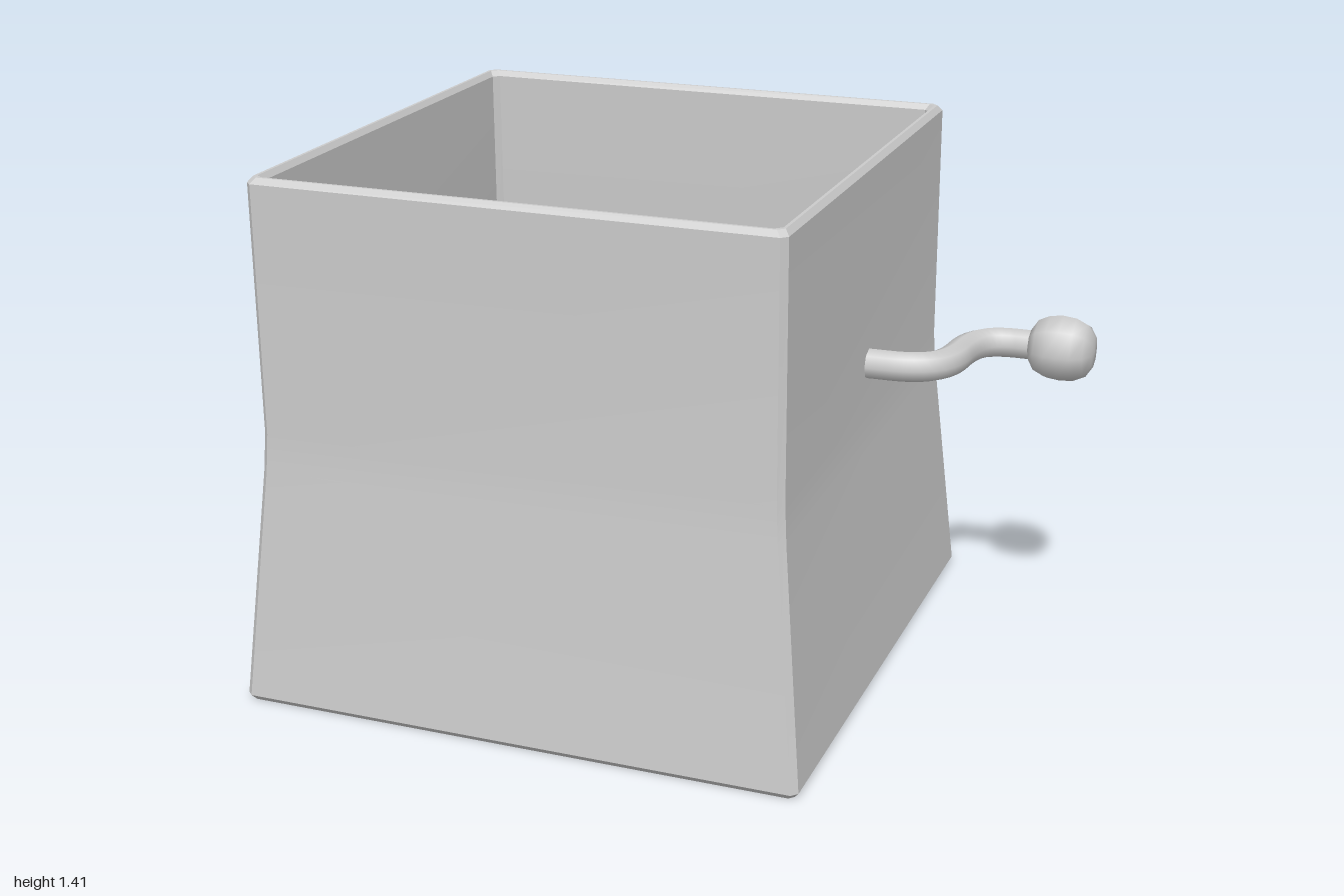
import * as THREE from 'three';
import { toCreasedNormals } from 'three/addons/utils/BufferGeometryUtils.js';

const material = new THREE.MeshStandardMaterial({ color: 0xcccccc });

// Square with cut corners, counter-clockwise seen from above
function ring(half, y, cut) {
  const c = half - cut;
  return [[half, c], [half, -c], [c, -half], [-c, -half], [-half, -c], [-half, c], [-c, half], [c, half]]
    .map(([x, z]) => [x, y, z]);
}

// Skin a stack of rings, closing both ends
function skin(rings) {
  const pos = [], n = 8;
  const tri = (...corners) => corners.forEach((p) => pos.push(...p));
  for (let r = 0; r < rings.length - 1; r++) {
    for (let i = 0; i < n; i++) {
      const j = (i + 1) % n, a = rings[r], b = rings[r + 1];
      tri(a[i], a[j], b[j]);
      tri(a[i], b[j], b[i]);
    }
  }
  const first = rings[0], last = rings[rings.length - 1];
  for (let i = 1; i < n - 1; i++) {
    tri(first[0], first[i + 1], first[i]);
    tri(last[0], last[i], last[i + 1]);
  }
  const geometry = new THREE.BufferGeometry();
  geometry.setAttribute('position', new THREE.Float32BufferAttribute(pos, 3));
  return toCreasedNormals(geometry, 0.4);
}

function add(group, name, geometry) {
  const mesh = new THREE.Mesh(geometry, material);
  mesh.name = name;
  group.add(mesh);
  return mesh;
}

export function createModel() {
  const group = new THREE.Group();

  // Open box: up the flared outside, over the rim, down the inside to the floor
  const profile = [
    [0.752, 0, 0.012], [0.765, 0.016, 0.016], [0.706, 0.64, 0.016], [0.7, 0.74, 0.016],
    [0.7, 1.395, 0.016], [0.688, 1.41, 0.016],
    [0.68, 1.41, 0.016], [0.67, 1.395, 0.016],
    [0.67, 0.74, 0.016], [0.676, 0.64, 0.016], [0.733, 0.04, 0.016], [0.722, 0.03, 0.012],
  ];
  const box = add(group, 'openBox', skin(profile.map((p) => ring(...p))));
  box.position.x = -0.235;

  // Crank: an S-shaped rod in the horizontal plane
  const crank = new THREE.Group();
  crank.name = 'crank';
  crank.position.y = 0.87;
  group.add(crank);
  const v = (x, z) => new THREE.Vector3(x, 0, z);
  const path = new THREE.CurvePath();
  path.add(new THREE.LineCurve3(v(0.45, 0), v(0.53, -0.003)));
  path.add(new THREE.CubicBezierCurve3(v(0.53, -0.003), v(0.63, -0.01), v(0.66, -0.06), v(0.667, -0.15)));
  path.add(new THREE.CubicBezierCurve3(v(0.667, -0.15), v(0.674, -0.24), v(0.7, -0.292), v(0.79, -0.295)));
  path.add(new THREE.LineCurve3(v(0.79, -0.295), v(0.88, -0.295)));
  add(crank, 'crankRod', new THREE.TubeGeometry(path, 28, 0.041, 8, false));

  // Rounded eight-sided knob turned about the rod's axis
  const knobProfile = [
    [0, -0.088], [0.042, -0.085], [0.072, -0.066], [0.087, -0.035], [0.091, 0],
    [0.087, 0.035], [0.072, 0.066], [0.042, 0.085], [0, 0.088],
  ].map(([r, h]) => new THREE.Vector2(r, h));
  const knob = add(crank, 'knob', new THREE.LatheGeometry(knobProfile, 8));
  knob.rotation.z = -Math.PI / 2;
  knob.position.set(0.912, 0, -0.295);

  return group;
}
